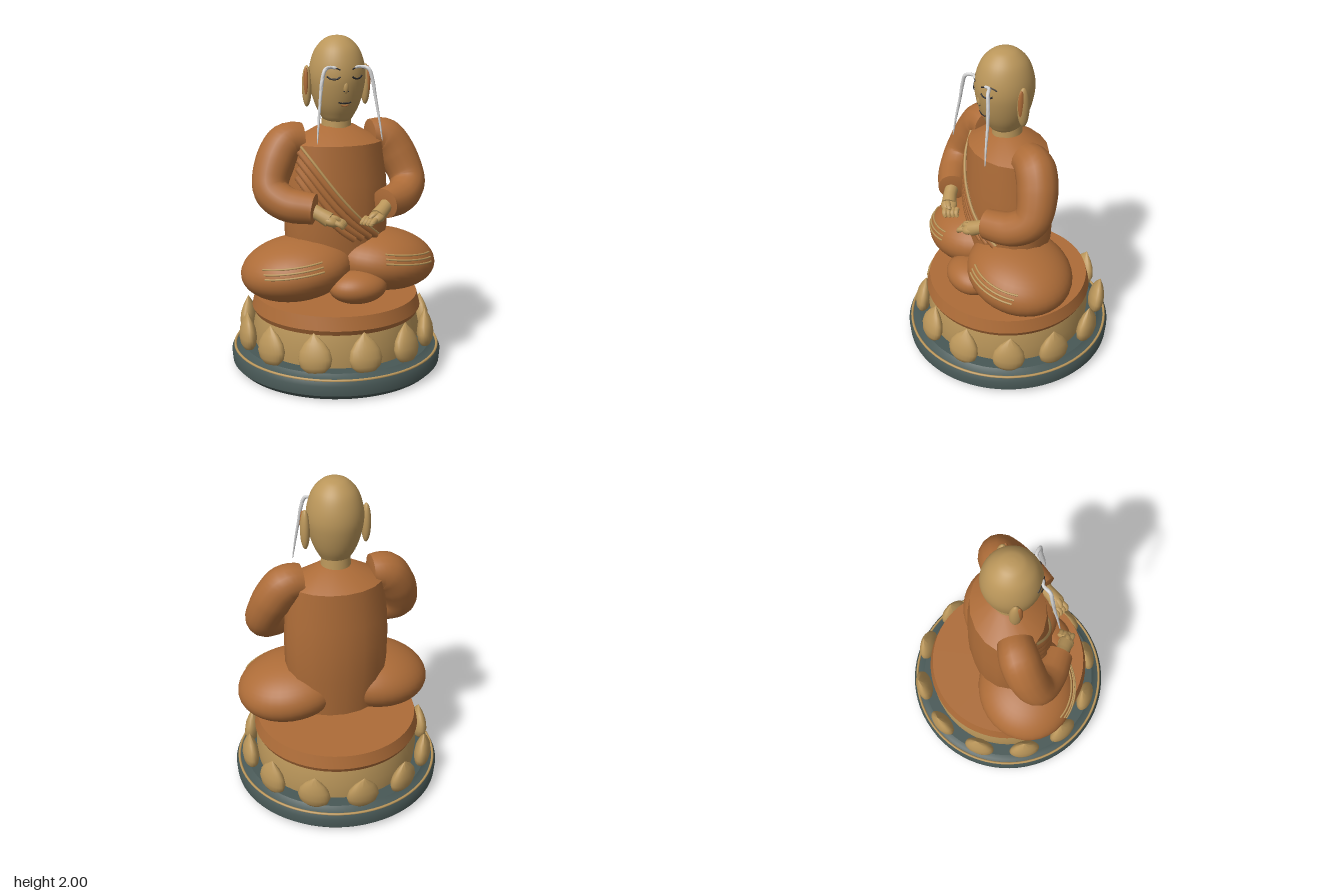
import * as THREE from 'three';
import { toCreasedNormals } from 'three/addons/utils/BufferGeometryUtils.js';

const mat = (name, color) => Object.assign(new THREE.MeshStandardMaterial({ color }), { name });
const V = (x, y, z) => new THREE.Vector3(x, y, z);

// Linear lookup of a radius in a list of [radius, height] pairs
function radiusAt(profile, y) {
  for (let i = 1; i < profile.length; i++) {
    const [r0, y0] = profile[i - 1], [r1, y1] = profile[i];
    if (y <= y1) return r0 + (r1 - r0) * Math.max(0, (y - y0) / (y1 - y0));
  }
  return 0;
}

const lathe = (profile, sides, crease = 0.6) => toCreasedNormals(
  new THREE.LatheGeometry(profile.map(([r, y]) => new THREE.Vector2(r, y)), sides), crease);

// Tube along points whose radius follows a list, with closed ends
function taperTube(points, radii, segs = 40, sides = 16) {
  const curve = new THREE.CatmullRomCurve3(points);
  const geo = new THREE.TubeGeometry(curve, segs, 1, sides);
  const pos = geo.attributes.position, p = V(0, 0, 0);
  for (let i = 0; i <= segs; i++) {
    const c = curve.getPointAt(i / segs);
    const f = (i / segs) * (radii.length - 1), k = Math.min(Math.floor(f), radii.length - 2);
    const r = i === 0 || i === segs ? 0 : THREE.MathUtils.lerp(radii[k], radii[k + 1], f - k);
    for (let j = 0; j <= sides; j++) {
      const n = i * (sides + 1) + j;
      p.fromBufferAttribute(pos, n).sub(c).multiplyScalar(r).add(c);
      pos.setXYZ(n, p.x, p.y, p.z);
    }
  }
  return toCreasedNormals(geo, 0.8);
}

export function createModel() {
  const model = new THREE.Group();
  const robe = mat('robe', 0xad6c38), gold = mat('pale gold', 0xba965a), slate = mat('slate', 0x485856);
  const white = mat('white hair', 0xd4d4d4), dark = mat('dark lines', 0x2b2a2c);

  const add = (name, geo, material, parent = model) => {
    const m = new THREE.Mesh(geo, material);
    m.name = name;
    parent.add(m);
    return m;
  };
  const ball = (name, material, c, r, parent = model) => {
    const m = add(name, new THREE.SphereGeometry(1, 36, 24), material, parent);
    m.position.set(...c);
    m.scale.set(...r);
    return m;
  };
  const line = (name, pts, r, material, parent = model) =>
    add(name, new THREE.TubeGeometry(new THREE.CatmullRomCurve3(pts), 24, r, 8), material, parent);

  // Round pedestal with a thin gold rim
  add('pedestal', lathe([[0, 0], [0.61, 0], [0.64, 0.03], [0.645, 0.09], [0.632, 0.115], [0.6, 0.12],
    [0.575, 0.14], [0, 0.14]], 72), slate);
  const rim = add('pedestalRim', new THREE.TorusGeometry(0.625, 0.008, 8, 72), gold);
  rim.rotation.x = Math.PI / 2;
  rim.position.y = 0.118;

  // Lotus drum with twelve petals
  add('lotusDrum', lathe([[0, 0.13], [0.5, 0.13], [0.51, 0.24], [0.49, 0.34], [0, 0.34]], 60), gold);
  const petalShape = lathe([[0, 0], [0.055, 0.004], [0.088, 0.035], [0.1, 0.08], [0.088, 0.13],
    [0.058, 0.175], [0.022, 0.21], [0, 0.232]], 24, 0.9).scale(1, 1, 0.5);
  for (let i = 0; i < 12; i++) {
    const a = (i * Math.PI) / 6;
    const petal = add('petal', petalShape, gold);
    petal.position.set(Math.sin(a) * 0.56, 0.132, Math.cos(a) * 0.56);
    petal.rotation.set(-0.2 * Math.abs(Math.cos(a)), a, 0);
  }

  // Seat cushion
  add('cushion', lathe([[0, 0.33], [0.47, 0.33], [0.5, 0.34], [0.515, 0.37], [0.495, 0.45], [0, 0.45]], 60), robe);

  // Torso
  const depth = 0.77;
  const torso = [[0, 0.55], [0.28, 0.55], [0.315, 0.8], [0.318, 1.0], [0.31, 1.15], [0.283, 1.38], [0.11, 1.475], [0, 1.48]];
  add('torso', lathe(torso, 18, 0.5).scale(1, 1, depth), robe);

  // Diagonal sash folds across the chest, edged in gold
  const chest = (x, y, lift) =>
    V(x, y, depth * Math.sqrt(Math.max(0, radiusAt(torso, y) ** 2 - x * x)) + lift);
  const fold = (name, x0, y0, x1, y1, r, material, lift) => {
    const pts = [];
    for (let i = 0; i <= 8; i++) {
      const t = i / 8;
      pts.push(chest(x0 + (x1 - x0) * t, y0 + (y1 - y0) * t - 0.05 * Math.sin(Math.PI * t), lift));
    }
    line(name, pts, r, material);
  };
  fold('sashEdge', -0.25, 1.375, 0.2, 0.84, 0.008, gold, 0.008);
  for (let i = 0; i < 4; i++)
    fold('sashFold', -0.255 - i * 0.005, 1.345 - i * 0.05, 0.185 - i * 0.05, 0.83, 0.022, robe, -0.003);

  // Crossed legs with three trim lines on each
  for (const s of [1, -1]) {
    const leg = new THREE.Group();
    leg.name = s > 0 ? 'leftLeg' : 'rightLeg';
    leg.position.set(s * 0.265, s > 0 ? 0.65 : 0.64, 0.07);
    leg.rotation.set(0, s * 0.1, s * -0.13);
    model.add(leg);
    const [rx, ry, rz] = [0.34, 0.188, 0.305];
    ball('thigh', robe, [0, 0, 0], [rx, ry, rz], leg);
    for (const y of [0.085, 0.06, 0.035]) {
      const pts = [];
      for (let i = 0; i <= 8; i++) {
        const x = s * (-0.11 + i * 0.042);
        pts.push(V(x, y, rz * Math.sqrt(1 - (x / rx) ** 2 - (y / ry) ** 2) + 0.001));
      }
      line('robeTrim', pts, 0.006, gold, leg);
    }
  }
  ball('coveredFoot', robe, [0.04, 0.555, 0.29], [0.175, 0.098, 0.135]);

  // Sleeves and hands
  for (const s of [1, -1]) {
    const arm = new THREE.Group();
    arm.name = s > 0 ? 'leftArm' : 'rightArm';
    model.add(arm);
    add('sleeve', taperTube([V(s * 0.195, 1.395, 0), V(s * 0.3, 1.385, 0), V(s * 0.385, 1.27, 0.03),
      V(s * 0.425, 1.13, 0.09), V(s * 0.36, 1.06, 0.17), V(s * 0.2, 1.035, 0.27)],
    [0.1, 0.118, 0.118, 0.108, 0.103, 0.098, 0.088]), robe, arm);
    add('wrist', taperTube([V(s * 0.24, 1.04, 0.25), V(s * 0.19, 1.01, 0.295), V(s * 0.14, 0.98, 0.33)],
      [0.042, 0.04, 0.045], 16), gold, arm);
    const palm = ball('palm', gold, [s * 0.14, 0.98, 0.328], [0.055, 0.032, 0.048], arm);
    palm.rotation.set(0, s * 0.6, s * 0.4);
    for (let i = 0; i < 4; i++) {
      const x = 0.125 - i * 0.012, z = 0.37 - i * 0.02;
      add('finger', taperTube([V(s * x, 0.975, z - 0.01), V(s * (x - 0.03), 0.96, z + 0.012),
        V(s * (x - 0.045), 0.938, z + 0.01)], [0.016, 0.016, 0.011], 12, 10), gold, arm);
    }
    add('thumb', taperTube([V(s * 0.15, 1.0, 0.33), V(s * 0.115, 0.995, 0.345), V(s * 0.085, 0.975, 0.35)],
      [0.018, 0.017, 0.011], 12, 10), gold, arm);
  }

  // Neck and egg-shaped head
  const neck = add('neck', new THREE.CylinderGeometry(0.083, 0.092, 0.12, 32), gold);
  neck.position.set(0, 1.49, 0.005);
  const headPoints = [[0, 1.5], [0.07, 1.505], [0.105, 1.55], [0.133, 1.61], [0.155, 1.69], [0.165, 1.77],
    [0.155, 1.85], [0.126, 1.925], [0.078, 1.977], [0.035, 1.996], [0, 2]];
  const smooth = new THREE.SplineCurve(headPoints.map(([r, y]) => new THREE.Vector2(r, y))).getPoints(48);
  smooth.forEach((p) => { p.x = Math.max(0, p.x); });
  const headProfile = smooth.map((p) => [p.x, p.y]);
  const head = add('head', new THREE.LatheGeometry(smooth, 40), gold);
  head.scale.z = 1.05;
  head.position.z = 0.02;
  const face = (x, y, lift = 0.001) =>
    V(x, y, 0.02 + 1.05 * Math.sqrt(Math.max(0, radiusAt(headProfile, y) ** 2 - x * x)) + lift);

  // Ears, closed eyes, brows and long trailing eyebrow hair
  for (const s of [1, -1]) {
    ball('ear', gold, [s * 0.18, 1.71, 0.005], [0.028, 0.12, 0.036]);
    ball('innerEar', robe, [s * 0.19, 1.735, 0.024], [0.014, 0.085, 0.02]);
    line('closedEye', [0.035, 0.05, 0.07, 0.09, 0.105].map((x, i) =>
      face(s * x, 1.778 - [0, 0.012, 0.016, 0.012, 0][i])), 0.005, dark);
    line('brow', [0.035, 0.065, 0.095, 0.12].map((x, i) =>
      face(s * x, 1.815 + [0, 0.012, 0.012, 0][i])), 0.004, dark);
    add('longEyebrow', taperTube([face(s * 0.05, 1.825), face(s * 0.09, 1.83, 0.012), V(s * 0.13, 1.82, 0.198),
      V(s * 0.15, 1.76, 0.208), V(s * 0.165, 1.66, 0.22), V(s * 0.182, 1.53, 0.242), V(s * 0.196, 1.41, 0.258)],
    [0.008, 0.011, 0.011, 0.009, 0.008, 0.006, 0.003], 40, 8), white);
    ball('nostril', dark, face(s * 0.012, 1.693, 0.004).toArray(), [0.005, 0.003, 0.004]);
  }

  // Nose and mouth
  ball('nose', gold, face(0, 1.715, -0.006).toArray(), [0.016, 0.035, 0.014]);
  line('mouth', [-0.038, -0.018, 0, 0.018, 0.038].map((x, i) =>
    face(x, 1.628 - [0, 0.006, 0.005, 0.006, 0][i])), 0.004, dark);
  line('lowerLip', [-0.022, 0, 0.022].map((x) => face(x, 1.607 + x * x * 8)), 0.005, robe);

  return model;
}
